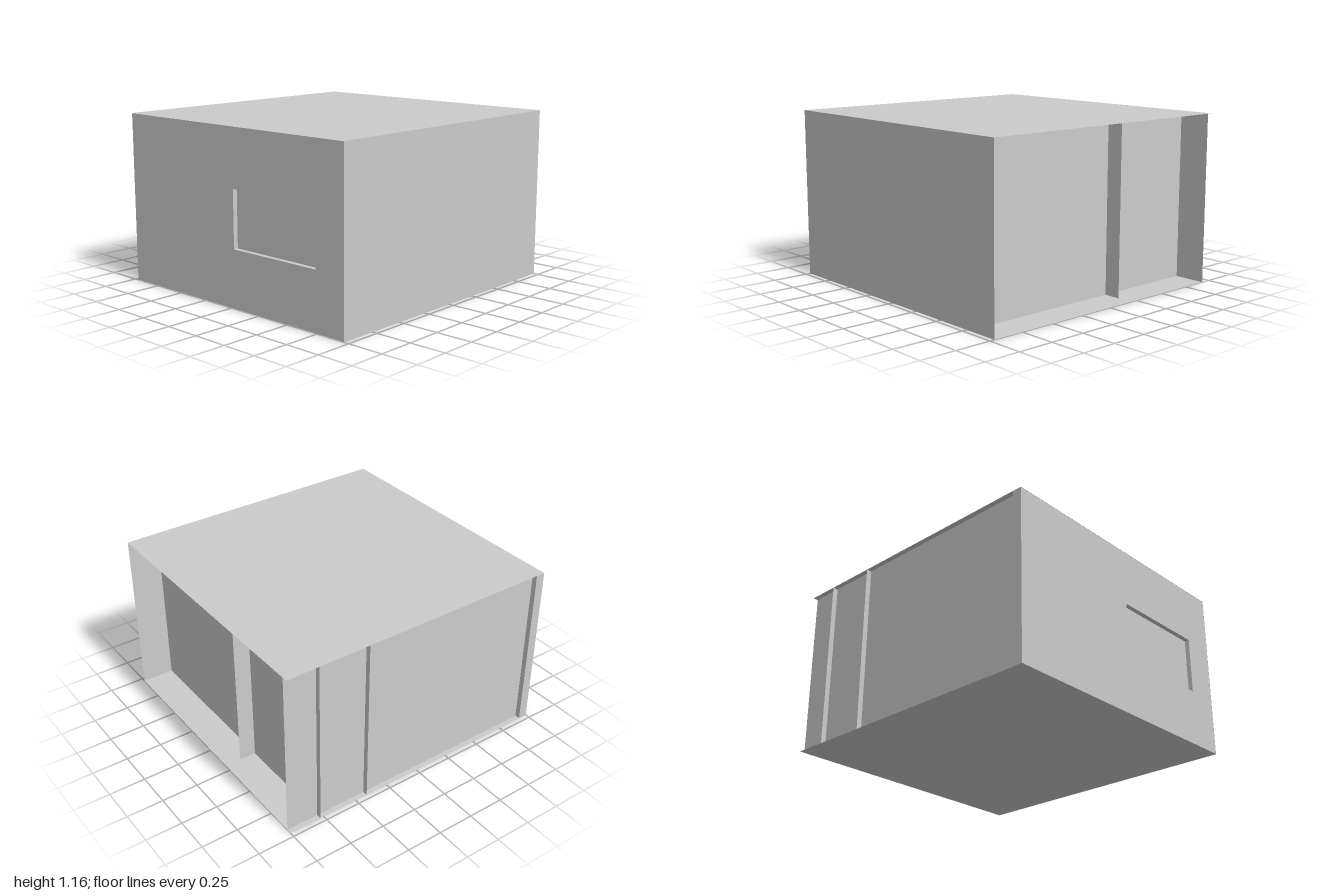
import * as THREE from 'three';

const H = 1.165;   // height
const X = 1;       // half width
const Z = 0.967;   // half depth
const EPS = 0.002; // keeps wall ends off the slabs

export function createModel() {
  const model = new THREE.Group();
  const mat = new THREE.MeshStandardMaterial({ color: 0xcccccc, side: THREE.DoubleSide, flatShading: true });

  function add(name, geometry) {
    const mesh = new THREE.Mesh(geometry, mat);
    mesh.name = name;
    model.add(mesh);
    return mesh;
  }

  // Thin horizontal sheet over the whole plan
  function slab(name, y, up) {
    const g = new THREE.PlaneGeometry(2 * X, 2 * Z);
    g.rotateX(up ? -Math.PI / 2 : Math.PI / 2);
    add(name, g).position.y = y;
  }

  // Thin wall running along x, at depth z
  function wallAlongX(name, x0, x1, z) {
    add(name, new THREE.PlaneGeometry(x1 - x0, H)).position.set((x0 + x1) / 2, H / 2, z);
  }

  // Thin wall running along z, at x
  function wallAlongZ(name, z0, z1, x) {
    const g = new THREE.PlaneGeometry(z1 - z0, H).rotateY(Math.PI / 2);
    add(name, g).position.set(x, H / 2, (z0 + z1) / 2);
  }

  slab('floor', 0, false);
  slab('roof', H, true);

  // Outer walls: flush front, slightly recessed back, deeply recessed side
  const backZ = -Z + 0.036;
  const sideX = 0.775;
  const thick = 0.065;
  wallAlongX('frontWall', -X, X, Z);
  wallAlongX('backWall', -X + thick, X, backZ);
  wallAlongZ('recessedSideWall', -Z, Z, sideX);

  // Partitions whose ends stand proud of the outer walls
  wallAlongZ('partitionWall', -Z, -0.2, 0.413);
  wallAlongX('crossPartitionWall', 0.413, 0.89, -0.2);

  // Thick side wall with a window opening
  const win = { z0: 0.036, z1: 0.743, y0: 0.39, y1: 0.775 };
  const rect = (path, a, b, c, d) =>
    path.moveTo(a, b).lineTo(c, b).lineTo(c, d).lineTo(a, d).closePath();
  const outline = rect(new THREE.Shape(), -Z, EPS, Z - EPS, H - EPS);
  outline.holes.push(rect(new THREE.Path(), win.z0, win.y0, win.z1, win.y1));
  const wall = new THREE.ExtrudeGeometry(outline, { depth: thick, bevelEnabled: false });
  wall.rotateY(-Math.PI / 2);
  add('windowWall', wall).position.x = -X + thick;

  // Pane set back inside the opening
  const pane = new THREE.PlaneGeometry(win.z1 - win.z0, win.y1 - win.y0).rotateY(-Math.PI / 2);
  add('windowPane', pane).position.set(-X + 0.032, (win.y0 + win.y1) / 2, (win.z0 + win.z1) / 2);

  return model;
}
